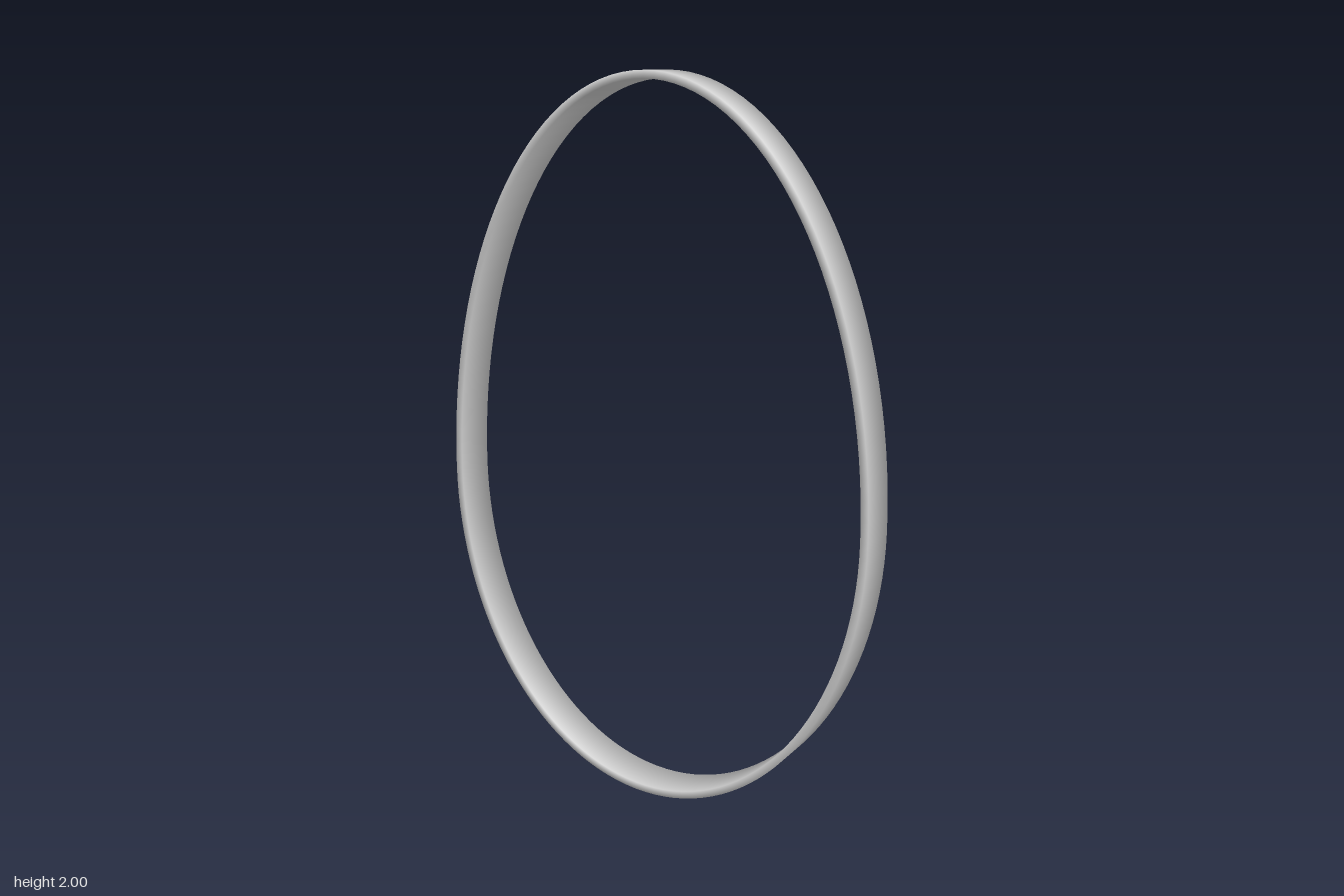
import * as THREE from 'three';

const HALF_WIDTH = 0.058;   // band half depth along z
const THICKNESS = 0.021;
const RADIUS_X = 0.657;
const WAIST_Y = 0.87;       // height of the widest point
const SEGMENTS = 128;

// Egg outline: two half ellipses meeting at the widest point
function eggPoint(t) {
  const ry = Math.sin(t) >= 0 ? 2 - WAIST_Y : WAIST_Y;
  const point = new THREE.Vector2(RADIUS_X * Math.cos(t), WAIST_Y + ry * Math.sin(t));
  const normal = new THREE.Vector2(ry * Math.cos(t), RADIUS_X * Math.sin(t)).normalize();
  return { point, normal };
}

// Sweeps a rectangular section round the outline, with softly shaded corners
function bandGeometry() {
  // [inward offset, z side, outward side]
  const corners = [[0, 1, 1], [0, -1, 1], [THICKNESS, -1, -1], [THICKNESS, 1, -1]];
  const positions = [], normals = [], index = [];
  for (let i = 0; i < SEGMENTS; i++) {
    const { point, normal } = eggPoint((i / SEGMENTS) * Math.PI * 2);
    for (const [inset, side, out] of corners) {
      positions.push(point.x - normal.x * inset, point.y - normal.y * inset, side * HALF_WIDTH);
      const n = new THREE.Vector3(normal.x * out, normal.y * out, side).normalize();
      normals.push(n.x, n.y, n.z);
    }
    const next = (i + 1) % SEGMENTS;
    for (let c = 0; c < 4; c++) {
      const d = (c + 1) % 4;
      const a = i * 4 + c, b = i * 4 + d, e = next * 4 + d, f = next * 4 + c;
      index.push(a, b, e, a, e, f);
    }
  }
  const geometry = new THREE.BufferGeometry();
  geometry.setAttribute('position', new THREE.Float32BufferAttribute(positions, 3));
  geometry.setAttribute('normal', new THREE.Float32BufferAttribute(normals, 3));
  geometry.setIndex(index);
  return geometry;
}

export function createModel() {
  const group = new THREE.Group();
  group.name = 'eggRing';
  const material = new THREE.MeshStandardMaterial({ color: 0xcccccc });
  const band = new THREE.Mesh(bandGeometry(), material);
  band.name = 'ovalBand';
  group.add(band);
  return group;
}
